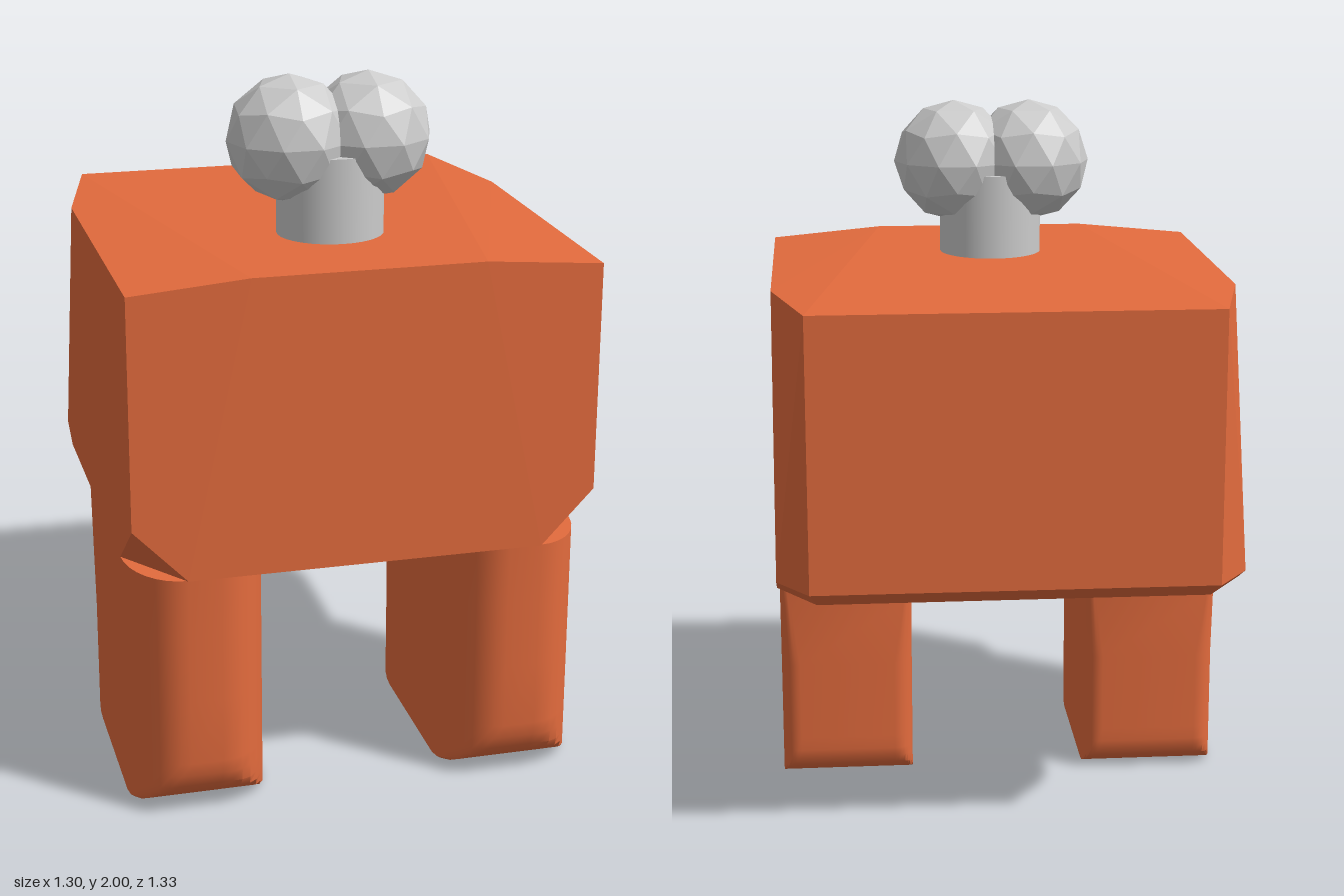
import * as THREE from 'three';
import { toCreasedNormals } from 'three/addons/utils/BufferGeometryUtils.js';
import { ConvexGeometry } from 'three/addons/geometries/ConvexGeometry.js';

const orange = new THREE.MeshStandardMaterial({ color: 0xe36b3d });
const grey = new THREE.MeshStandardMaterial({ color: 0xcccccc });
const greyFlat = new THREE.MeshStandardMaterial({ color: 0xcccccc, flatShading: true });

function add(group, name, geometry, material, x = 0, y = 0, z = 0) {
  const mesh = new THREE.Mesh(geometry, material);
  mesh.name = name;
  mesh.position.set(x, y, z);
  group.add(mesh);
  return mesh;
}

// Block with a gently crowned top and chamfered corners, from one mirrored half
function bodyGeometry() {
  const half = [
    [0.32, 1.56, 0.663], [0.65, 1.53, 0.655], [0.65, 1.53, -0.28], [0.56, 1.535, -0.667], // top
    [0.65, 0.77, -0.54], [0.56, 0.77, -0.667],                                            // back corner
    [0.65, 0.725, -0.45], [0.54, 0.725, -0.61],                                           // underside
    [0.65, 0.88, 0.655], [0.5, 0.725, 0.66], [0.65, 0.725, 0.45],                         // front lower corner
  ];
  const points = half.flatMap(([x, y, z]) => [new THREE.Vector3(x, y, z), new THREE.Vector3(-x, y, z)]);
  return new ConvexGeometry(points);
}

const HALF = 0.195, FRONT = 0.655, BACK = -0.093, STEPS = 8;

// Rounded plan of a leg at height y, cut by the curved front and back of the foot
function legSection(y) {
  const backR = 0.01 + 0.045 * Math.min(1, (0.725 - y) / 0.37);
  const quarter = (lift, radius) => {
    const t = Math.max(0, 1 - y / lift);
    return radius * (1 - Math.sqrt(Math.max(0, 1 - t * t)));
  };
  const zMax = FRONT - quarter(0.17, 0.205), zMin = BACK + quarter(0.09, 0.1);
  const corners = [
    [HALF, BACK, backR, backR, 1, -1], [HALF, FRONT, 0.15, 0.205, 1, 1],
    [-HALF, FRONT, 0.15, 0.205, -1, 1], [-HALF, BACK, backR, backR, -1, -1],
  ];
  const ring = [];
  corners.forEach(([cx, cz, rx, rz, sx, sz], k) => {
    for (let i = 0; i <= STEPS; i++) {
      const a = (k - 1 + i / STEPS) * Math.PI / 2;
      const x = cx - sx * rx + rx * Math.cos(a);
      const z = cz - sz * rz + rz * Math.sin(a);
      ring.push([x, y, THREE.MathUtils.clamp(z, zMin, zMax)]);
    }
  });
  return ring;
}

function legGeometry() {
  const levels = [0, 0.006, 0.02, 0.04, 0.065, 0.09, 0.13, 0.17, 0.36, 0.55, 0.725];
  const rings = levels.map(legSection);
  const n = rings[0].length, pos = rings.flat(2), idx = [];
  for (let j = 0; j < levels.length - 1; j++) {
    for (let i = 0; i < n; i++) {
      const a = j * n + i, b = j * n + (i + 1) % n;
      idx.push(a, a + n, b, b, a + n, b + n);
    }
  }
  // sole and top caps
  const sole = n * levels.length, top = sole + 1, last = n * (levels.length - 1);
  pos.push(0, 0, 0.25, 0, 0.725, 0.25);
  for (let i = 0; i < n; i++) {
    const k = (i + 1) % n;
    idx.push(sole, i, k, top, last + k, last + i);
  }
  const geo = new THREE.BufferGeometry();
  geo.setAttribute('position', new THREE.Float32BufferAttribute(pos, 3));
  geo.setIndex(idx);
  return toCreasedNormals(geo, 0.7);
}

export function createModel() {
  const model = new THREE.Group();
  model.name = 'model';
  add(model, 'body', bodyGeometry(), orange);

  // Pair of legs
  const leg = legGeometry();
  add(model, 'leftLeg', leg, orange, 0.455);
  add(model, 'rightLeg', leg, orange, -0.455);

  // Neck and the two faceted balls, each with a corner pointing up
  add(model, 'neck', new THREE.CylinderGeometry(0.15, 0.15, 0.27, 32), grey, 0, 1.655, 0.235);
  const ball = new THREE.IcosahedronGeometry(0.178, 1);
  ball.rotateX(-Math.atan((1 + Math.sqrt(5)) / 2));
  add(model, 'leftBall', ball, greyFlat, 0.108, 1.822, 0.232);
  add(model, 'rightBall', ball, greyFlat, -0.115, 1.822, 0.232);
  return model;
}
